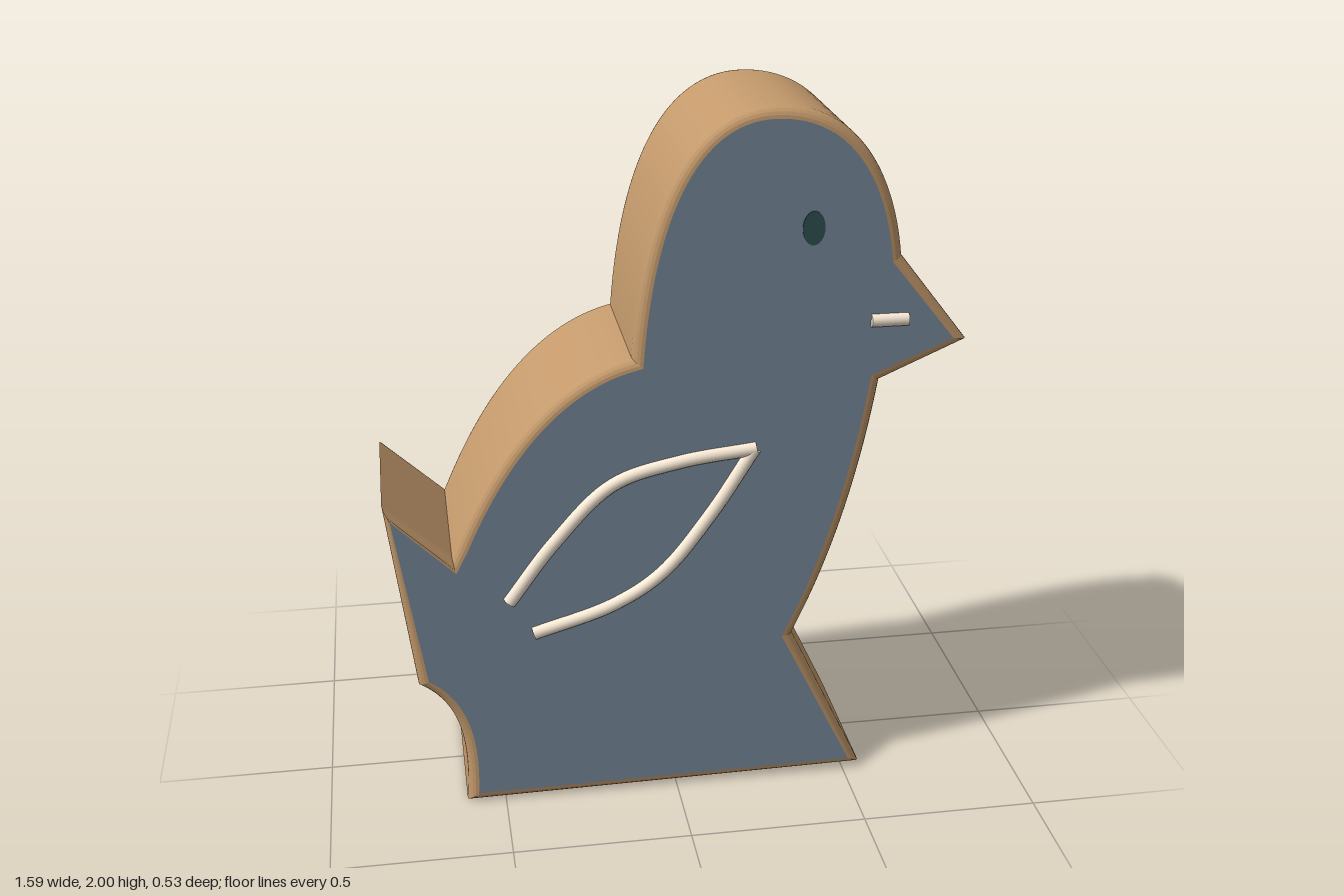
import * as THREE from 'three';

const HALF = 0.245; // half thickness of the body
const mat = (color) => new THREE.MeshStandardMaterial({ color });

function outline() {
  const s = new THREE.Shape();
  s.moveTo(-0.61, 0.005);
  s.lineTo(0.55, 0.02);                                         // base
  s.lineTo(0.335, 0.475);                                       // foot
  s.quadraticCurveTo(0.49, 0.8, 0.555, 1.24);                   // breast
  s.lineTo(0.792, 1.345);                                       // beak
  s.lineTo(0.6, 1.59);
  s.bezierCurveTo(0.57, 1.84, 0.45, 2.0, 0.25, 2.0);            // head
  s.bezierCurveTo(0.03, 2.0, -0.09, 1.75, -0.122, 1.34);
  s.quadraticCurveTo(-0.42, 1.27, -0.62, 0.79);                 // back
  s.lineTo(-0.8, 0.955);                                        // tail
  s.lineTo(-0.73, 0.4);
  s.bezierCurveTo(-0.61, 0.33, -0.595, 0.18, -0.61, 0.005);     // rump
  return s;
}

// Half-sunk rod along a curve, with flat end caps
function rod(name, points, radius, material, z) {
  const group = new THREE.Group();
  group.name = name;
  const curve = new THREE.CatmullRomCurve3(points.map(([x, y]) => new THREE.Vector3(x, y, z)));
  group.add(new THREE.Mesh(new THREE.TubeGeometry(curve, 40, radius, 16), material));
  for (const t of [0, 1]) {
    const cap = new THREE.Mesh(new THREE.CircleGeometry(radius, 16), material);
    const dir = curve.getTangent(t).multiplyScalar(t ? 1 : -1);
    cap.position.copy(curve.getPoint(t));
    cap.quaternion.setFromUnitVectors(new THREE.Vector3(0, 0, 1), dir);
    group.add(cap);
  }
  for (const child of group.children) child.name = name;
  return group;
}

export function createModel() {
  const model = new THREE.Group();
  model.name = 'bird';
  const face = mat(0x778899), edge = mat(0xc49a6c), trim = mat(0xfaebd7), dark = mat(0x2f4f4f);

  // Thick cut-out body: painted faces, bare rounded rim
  const bevel = 0.03;
  const geo = new THREE.ExtrudeGeometry(outline(), {
    depth: 2 * (HALF - bevel), curveSegments: 28,
    bevelEnabled: true, bevelSize: bevel, bevelThickness: bevel, bevelOffset: -bevel, bevelSegments: 5,
  });
  geo.translate(0, 0, -(HALF - bevel));
  const body = new THREE.Mesh(geo, [face, edge]);
  body.name = 'body';
  model.add(body);

  // Eye, mouth and wing lines on both faces
  for (const side of [1, -1]) {
    const z = side * HALF;
    const eye = new THREE.Mesh(new THREE.CylinderGeometry(1, 1, 0.006, 32), dark);
    eye.name = 'eye';
    eye.rotation.x = Math.PI / 2;
    eye.scale.set(0.03, 1, 0.046);
    eye.position.set(0.355, 1.68, z);
    model.add(eye);

    model.add(
      rod('mouth', [[0.52, 1.417], [0.622, 1.417]], 0.018, trim, z),
      rod('wingUpper', [[-0.47, 0.65], [-0.34, 0.825], [-0.18, 0.985], [0, 1.04], [0.215, 1.067]], 0.019, trim, z),
      rod('wingLower', [[-0.405, 0.547], [-0.18, 0.62], [-0.045, 0.707], [0.09, 0.876], [0.21, 1.067]], 0.019, trim, z),
    );
  }
  return model;
}
